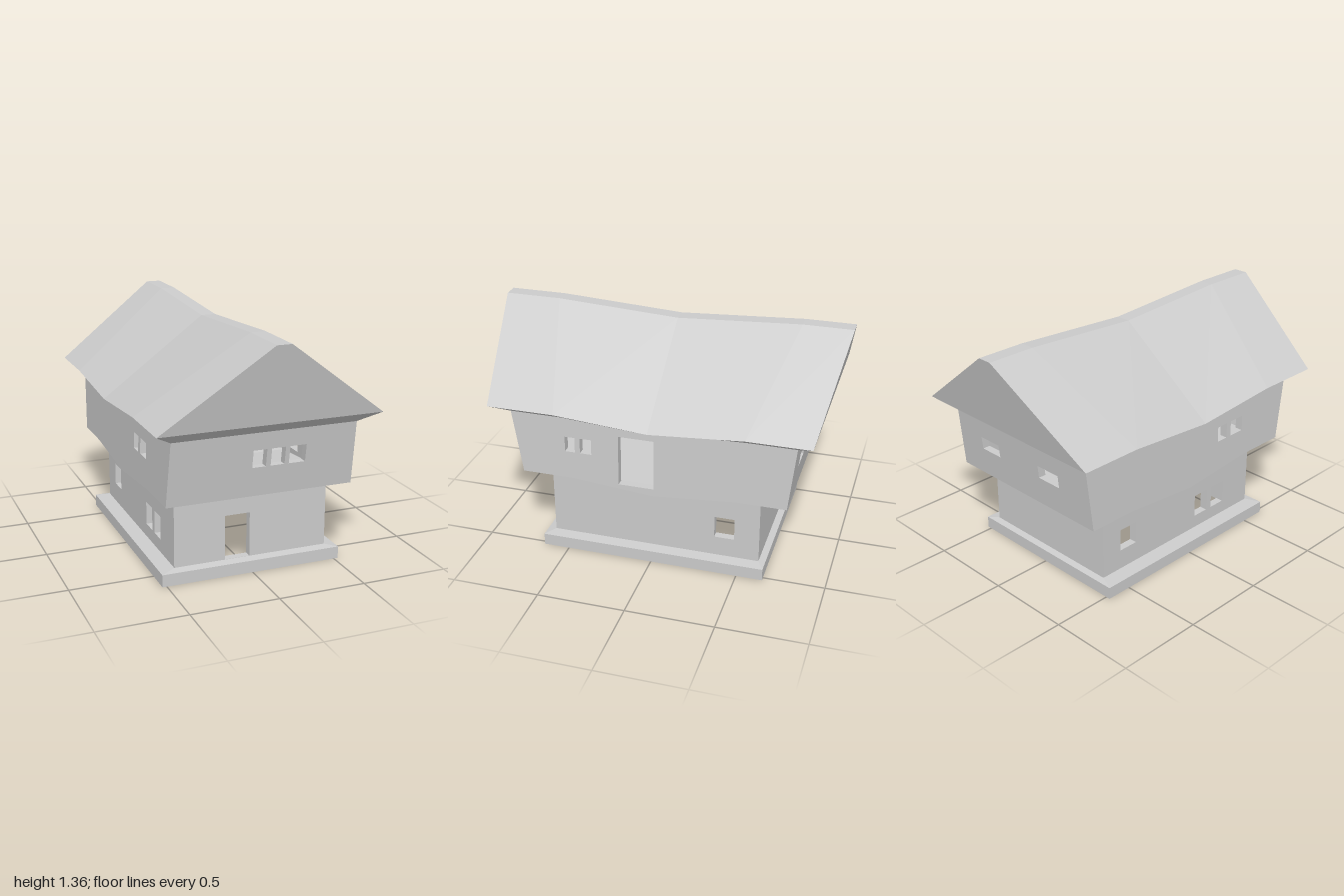
import * as THREE from 'three';

const material = new THREE.MeshStandardMaterial({ color: 0xcccccc, flatShading: true, side: THREE.DoubleSide });
const MID = -0.02; // z where the sagging timber dips lowest
const T = 0.045;   // wall thickness

// Sag along the length: zero beyond the kinks, deepest at MID
const sagAt = (z, kink, sag) => -sag * Math.max(0, 1 - Math.abs(z - MID) / kink);

// Ten-point rectangular ring, five along each long side, dipping in the middle
function ring(x0, x1, z0, z1, y, kink = 0.5, sag = 0) {
  const zs = [z1, MID + kink, MID, MID - kink, z0];
  const side = x => zs.map(z => [x, y + sagAt(z, kink, sag), z]);
  return [...side(x1), ...side(x0).reverse()];
}

// Skin a list of rings, optionally closing the bottom and top
function loft(name, rings, capped = true) {
  const pos = [];
  const quad = (a, b, c, d) => pos.push(...a, ...b, ...c, ...a, ...c, ...d);
  for (let k = 0; k < rings.length - 1; k++) {
    const a = rings[k], b = rings[k + 1];
    a.forEach((p, i) => quad(p, a[(i + 1) % 10], b[(i + 1) % 10], b[i]));
  }
  if (capped) {
    const lo = rings[0], hi = rings[rings.length - 1];
    for (let i = 0; i < 4; i++) {
      quad(hi[i], hi[i + 1], hi[8 - i], hi[9 - i]);
      quad(lo[i + 1], lo[i], lo[9 - i], lo[8 - i]);
    }
  }
  const geo = new THREE.BufferGeometry();
  geo.setAttribute('position', new THREE.Float32BufferAttribute(pos, 3));
  geo.computeVertexNormals();
  const mesh = new THREE.Mesh(geo, material);
  mesh.name = name;
  return mesh;
}

// Wall from an outline and rectangular holes [u0, u1, v0, v1];
// place(u, v, w) maps outline and depth to the model
function wall(name, outline, holes, place, flip) {
  const shape = new THREE.Shape(outline.map(p => new THREE.Vector2(...p)));
  for (const [u0, u1, v0, v1] of holes) {
    shape.holes.push(new THREE.Path([[u0, v0], [u0, v1], [u1, v1], [u1, v0]].map(p => new THREE.Vector2(...p))));
  }
  let geo = new THREE.ExtrudeGeometry(shape, { depth: T, bevelEnabled: false });
  if (geo.index) geo = geo.toNonIndexed();
  const p = geo.attributes.position;
  const pts = [];
  for (let i = 0; i < p.count; i++) pts.push(place(p.getX(i), p.getY(i), p.getZ(i)));
  for (let i = 0; i < pts.length; i += 3) {
    if (flip) [pts[i + 1], pts[i + 2]] = [pts[i + 2], pts[i + 1]];
  }
  pts.forEach((q, i) => p.setXYZ(i, ...q));
  geo.computeVertexNormals();
  const mesh = new THREE.Mesh(geo, material);
  mesh.name = name;
  return mesh;
}

// Four walls of one storey; lo and hi give the outer rectangle and height at bottom and top
function storey(name, lo, hi, holes) {
  const g = new THREE.Group();
  g.name = name;
  const at = (key, y) => lo[key] + (hi[key] - lo[key]) * (y - lo.y) / (hi.y - lo.y);
  const edge = (s, dir) => {
    const zs = [s.z0, MID - s.kink, MID, MID + s.kink, s.z1];
    if (dir < 0) zs.reverse();
    return zs.map(z => [z, s.y + sagAt(z, s.kink, s.sag)]);
  };
  const sideOutline = [...edge(lo, 1), ...edge(hi, -1)];
  const endOutline = [
    [lo.x0 + T, lo.y], [lo.x1 - T, lo.y], [hi.x1 - T, hi.y], [hi.x0 + T, hi.y],
  ];
  g.add(
    wall('leftWall', sideOutline, holes.left, (u, v, w) => [at('x1', v) - w, v, u], false),
    wall('rightWall', sideOutline, holes.right, (u, v, w) => [at('x0', v) + w, v, u], true),
    wall('frontWall', endOutline, holes.front, (u, v, w) => [u, v, at('z1', v) - w], true),
    wall('backWall', endOutline, holes.back, (u, v, w) => [u, v, at('z0', v) + w], false),
  );
  return g;
}

export function createModel() {
  const house = new THREE.Group();
  house.name = 'house';

  // Open foundation frame with a gently sloped top
  const inner = ring(-0.475, 0.475, -0.605, 0.6, 0);
  house.add(loft('foundation', [
    inner,
    ring(-0.525, 0.525, -0.65, 0.65, 0),
    ring(-0.525, 0.525, -0.65, 0.65, 0.07),
    ring(-0.44, 0.46, -0.613, 0.6, 0.078),
    inner,
  ], false));

  // Ground floor with front door and side windows
  house.add(storey('groundFloor',
    { x0: -0.44, x1: 0.46, z0: -0.613, z1: 0.6, y: 0.02, kink: 0.5, sag: 0 },
    { x0: -0.44, x1: 0.46, z0: -0.613, z1: 0.6, y: 0.445, kink: 0.47, sag: 0.04 },
    {
      left: [[-0.47, -0.355, 0.195, 0.325]],
      right: [[-0.48, -0.36, 0.195, 0.325], [0.13, 0.235, 0.155, 0.29], [0.275, 0.38, 0.155, 0.29]],
      front: [[-0.145, 0, 0.079, 0.335]],
      back: [],
    }));

  // Flared floor slab under the overhanging storey
  house.add(loft('floorSlab', [
    ring(-0.44, 0.46, -0.613, 0.6, 0.443, 0.47, 0.04),
    ring(-0.535, 0.535, -0.77, 0.745, 0.487, 0.47, 0.04),
  ]));

  // Upper floor, leaning outwards at front and back
  house.add(storey('upperFloor',
    { x0: -0.535, x1: 0.535, z0: -0.77, z1: 0.745, y: 0.487, kink: 0.47, sag: 0.04 },
    { x0: -0.525, x1: 0.525, z0: -0.81, z1: 0.805, y: 0.855, kink: 0.53, sag: 0.015 },
    {
      left: [[-0.025, 0.178, 0.49, 0.785], [0.335, 0.402, 0.65, 0.74], [0.432, 0.49, 0.65, 0.74]],
      right: [[0.21, 0.285, 0.65, 0.74], [0.32, 0.42, 0.65, 0.74]],
      front: [[-0.065, 0.013, 0.655, 0.755], [0.04, 0.12, 0.655, 0.755], [0.145, 0.24, 0.655, 0.755]],
      back: [[-0.295, -0.135, 0.655, 0.73], [0.19, 0.34, 0.655, 0.73]],
    }));

  // Roof: sloped soffit, eaves, and a sagging ridge that overhangs both gables
  house.add(loft('roof', [
    ring(-0.525, 0.525, -0.81, 0.805, 0.855, 0.53, 0.015),
    ring(-0.63, 0.63, -0.905, 0.895, 0.92, 0.53, 0.04),
    ring(-0.042, 0.042, -1, 1, 1.355, 0.7, 0.04),
  ]));

  return house;
}
